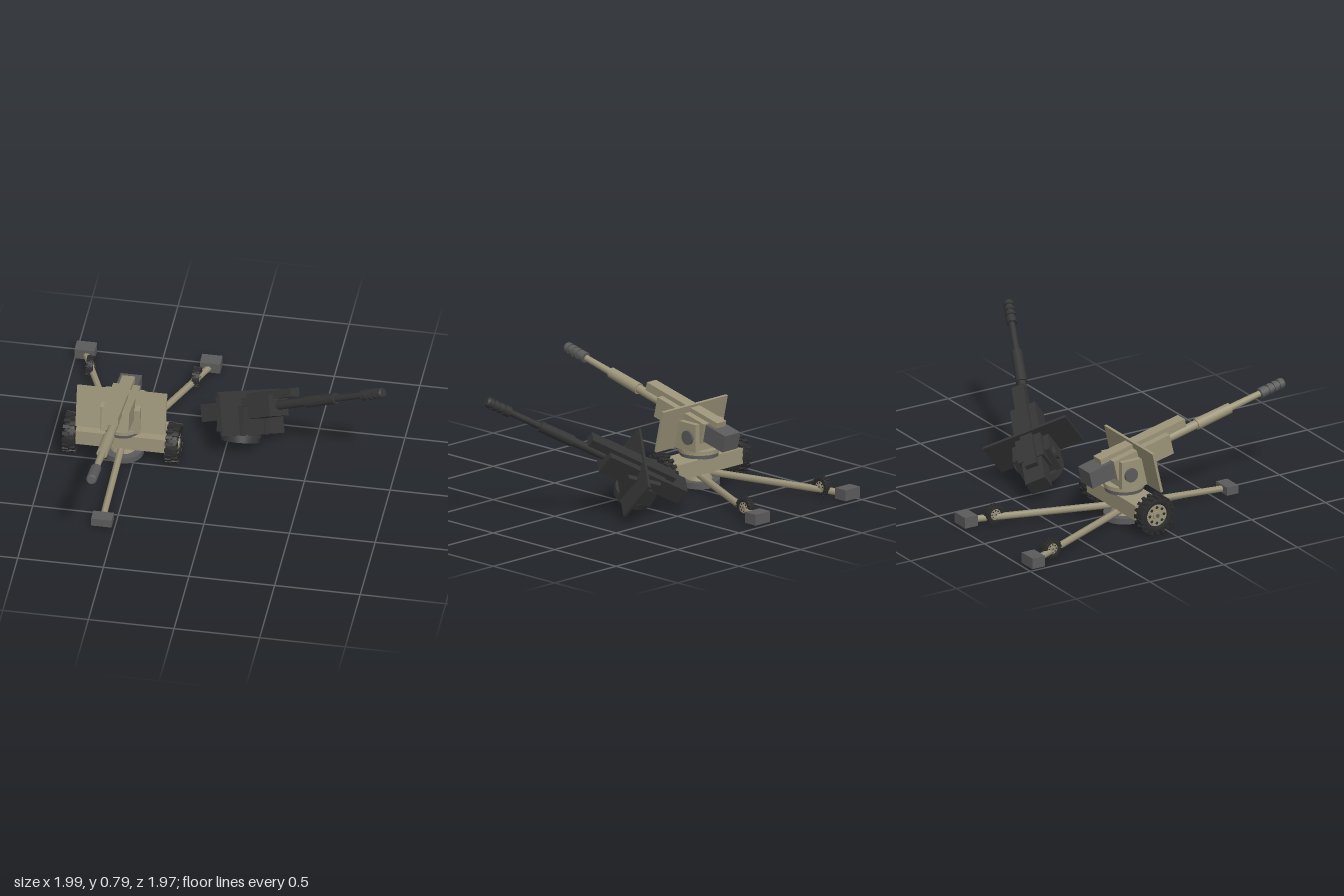
import * as THREE from 'three';

const mat = (name, color) => {
  const m = new THREE.MeshStandardMaterial({ color });
  m.name = name;
  return m;
};
const khaki = mat('khaki paint', 0x9c9479);
const steel = mat('grey steel', 0x5b5b5c);
const rubber = mat('black rubber', 0x2b2b2b);
const burnt = mat('burnt metal', 0x353535);

function add(parent, name, geo, material, x = 0, y = 0, z = 0) {
  const m = new THREE.Mesh(geo, material);
  m.name = name;
  m.position.set(x, y, z);
  parent.add(m);
  return m;
}

// Box given by its min/max in y and z, centred on x
function block(parent, name, material, width, y0, y1, z0, z1, x = 0) {
  return add(parent, name, new THREE.BoxGeometry(width, y1 - y0, z1 - z0), material, x, (y0 + y1) / 2, (z0 + z1) / 2);
}

// Cylinder lying along z from z0 to z1
function tube(parent, name, material, r0, r1, y, z0, z1, sides = 16) {
  const g = new THREE.CylinderGeometry(r1, r0, z1 - z0, sides).rotateX(Math.PI / 2);
  return add(parent, name, g, material, 0, y, (z0 + z1) / 2);
}

// Cylinder lying along x
function drum(parent, name, material, r, width, x, y, z, sides = 20) {
  return add(parent, name, new THREE.CylinderGeometry(r, r, width, sides).rotateZ(Math.PI / 2), material, x, y, z);
}

const PITCH = THREE.MathUtils.degToRad(13);

// Gun, shield and upper carriage, with the origin at the shield centre and +z along the barrel
function makeGun(paint, metal) {
  const gun = new THREE.Group();
  const axis = 0.024;

  // Barrel
  tube(gun, 'rearBarrel', paint, 0.027, 0.026, axis, 0.2, 0.45);
  tube(gun, 'barrelSleeve', paint, 0.034, 0.032, axis, 0.44, 0.672);
  tube(gun, 'frontBarrel', paint, 0.021, 0.018, axis, 0.66, 0.9);
  // Muzzle brake with raised bands
  tube(gun, 'muzzleCore', metal, 0.025, 0.025, axis, 0.88, 1.04, 12);
  for (const [z0, z1] of [[0.883, 0.925], [0.937, 0.962], [0.974, 0.999], [1.011, 1.036]])
    tube(gun, 'muzzleBand', metal, 0.032, 0.031, axis, z0, z1, 12);
  tube(gun, 'muzzleTip', metal, 0.031, 0.024, axis, 1.036, 1.046, 12);

  // Cradle, recoil housing and breech
  block(gun, 'cradle', paint, 0.16, -0.038, 0.086, -0.17, 0.22);
  block(gun, 'recoilHousing', paint, 0.075, 0.062, 0.112, -0.23, 0.357);
  block(gun, 'breech', metal, 0.125, -0.025, 0.078, -0.33, -0.15);

  // Shield
  block(gun, 'shield', paint, 0.525, -0.128, 0.128, -0.008, 0.008);

  // Trunnion drums
  for (const s of [-1, 1]) drum(gun, 'trunnion', metal, 0.042, 0.025, s * 0.118, -0.02, -0.1);

  // Upper carriage stays level while the gun is elevated
  const carriage = new THREE.Group();
  carriage.name = 'upperCarriage';
  carriage.rotation.x = PITCH;
  gun.add(carriage);
  for (const s of [-1, 1]) block(carriage, 'cheekPlate', paint, 0.034, -0.125, 0.042, -0.15, 0.05, s * 0.099);
  block(carriage, 'carriageBody', paint, 0.166, -0.125, -0.03, -0.14, 0.035);
  const disc = (name, r, h, y, m) =>
    add(carriage, name, new THREE.CylinderGeometry(r, r, h, 32), m, 0, y, -0.065);
  disc('turntable', 0.12, 0.024, -0.136, paint);
  disc('turntableRing', 0.112, 0.026, -0.16, metal);
  return gun;
}

// Wheel with its axle along x, radius 0.117 and width 0.075
function makeWheel(name) {
  const wheel = new THREE.Group();
  wheel.name = name;
  const profile = [
    [0.066, -0.026], [0.072, -0.034], [0.1, -0.034], [0.109, -0.024],
    [0.109, 0.024], [0.1, 0.034], [0.072, 0.034], [0.066, 0.026], [0.066, -0.026],
  ].map(([r, y]) => new THREE.Vector2(r, y));
  add(wheel, 'tyre', new THREE.LatheGeometry(profile, 32).rotateZ(Math.PI / 2), rubber);
  // Staggered tread lugs
  for (let i = 0; i < 36; i++) {
    const side = i % 2 ? 1 : -1;
    const a = (i / 36) * Math.PI * 2;
    const lug = add(wheel, 'treadLug', new THREE.BoxGeometry(0.038, 0.016, 0.02), rubber,
      side * 0.0185, Math.cos(a) * 0.109, Math.sin(a) * 0.109);
    lug.rotation.x = a;
  }
  // Rim, hub and rim openings
  drum(wheel, 'rim', khaki, 0.068, 0.052, 0, 0, 0, 24);
  drum(wheel, 'hub', khaki, 0.026, 0.07, 0, 0, 0, 12);
  drum(wheel, 'hubCap', steel, 0.012, 0.076, 0, 0, 0, 12);
  for (let i = 0; i < 8; i++) {
    const a = (i / 8) * Math.PI * 2;
    drum(wheel, 'rimOpening', rubber, 0.009, 0.056, 0, Math.cos(a) * 0.048, Math.sin(a) * 0.048, 8);
  }
  return wheel;
}

// Six-sided outrigger leg between two points
function addLeg(parent, name, from, to) {
  const a = new THREE.Vector3(...from);
  const d = new THREE.Vector3(...to).sub(a);
  const leg = add(parent, name, new THREE.CylinderGeometry(0.02, 0.021, d.length(), 6), khaki);
  leg.position.copy(a).addScaledVector(d, 0.5);
  leg.quaternion.setFromUnitVectors(new THREE.Vector3(0, 1, 0), d.normalize());
}

export function createModel() {
  const model = new THREE.Group();

  // Intact field gun
  const field = new THREE.Group();
  field.name = 'fieldGun';
  field.position.x = -0.575;
  model.add(field);

  const gun = makeGun(khaki, steel);
  gun.name = 'gun';
  gun.position.set(0, 0.348, -0.035);
  gun.rotation.x = -PITCH;
  field.add(gun);

  // Lower carriage
  block(field, 'axleBeam', khaki, 0.53, 0.085, 0.178, -0.19, -0.01);
  add(field, 'basePlate', new THREE.CylinderGeometry(0.12, 0.12, 0.036, 32), steel, 0, 0.018, -0.1);
  add(field, 'baseColumn', new THREE.CylinderGeometry(0.06, 0.08, 0.06, 24), khaki, 0, 0.06, -0.1);

  // Front leg and foot
  addLeg(field, 'frontLeg', [0, 0.076, -0.06], [0, 0.033, 0.58]);
  block(field, 'frontFoot', steel, 0.12, 0.01, 0.06, 0.56, 0.637);

  // Main wheels, rear legs, feet and trail wheels
  for (const s of [-1, 1]) {
    const wheel = makeWheel('mainWheel');
    wheel.position.set(s * 0.299, 0.117, -0.08);
    field.add(wheel);
    addLeg(field, 'rearLeg', [s * 0.01, 0.076, -0.06], [s * 0.366, 0.035, -0.93]);
    block(field, 'rearFoot', steel, 0.118, 0.01, 0.075, -0.985, -0.9, s * 0.366);
    const small = makeWheel('trailWheel');
    small.scale.set(0.57, 0.5, 0.5);
    small.position.set(s * 0.31, 0.06, -0.786);
    field.add(small);
  }

  // Burnt gun lying tilted on the ground
  const wreck = makeGun(burnt, burnt);
  wreck.name = 'wreckedGun';
  const forward = new THREE.Vector3(0.805, 0.482, 0.35).normalize();
  const right = new THREE.Vector3(-0.206, 0.763, -0.611).cross(forward).normalize();
  const up = new THREE.Vector3().crossVectors(forward, right);
  wreck.quaternion.setFromRotationMatrix(new THREE.Matrix4().makeBasis(right, up, forward));
  wreck.position.set(0.14, 0.244, -0.27);
  model.add(wreck);

  return model;
}
